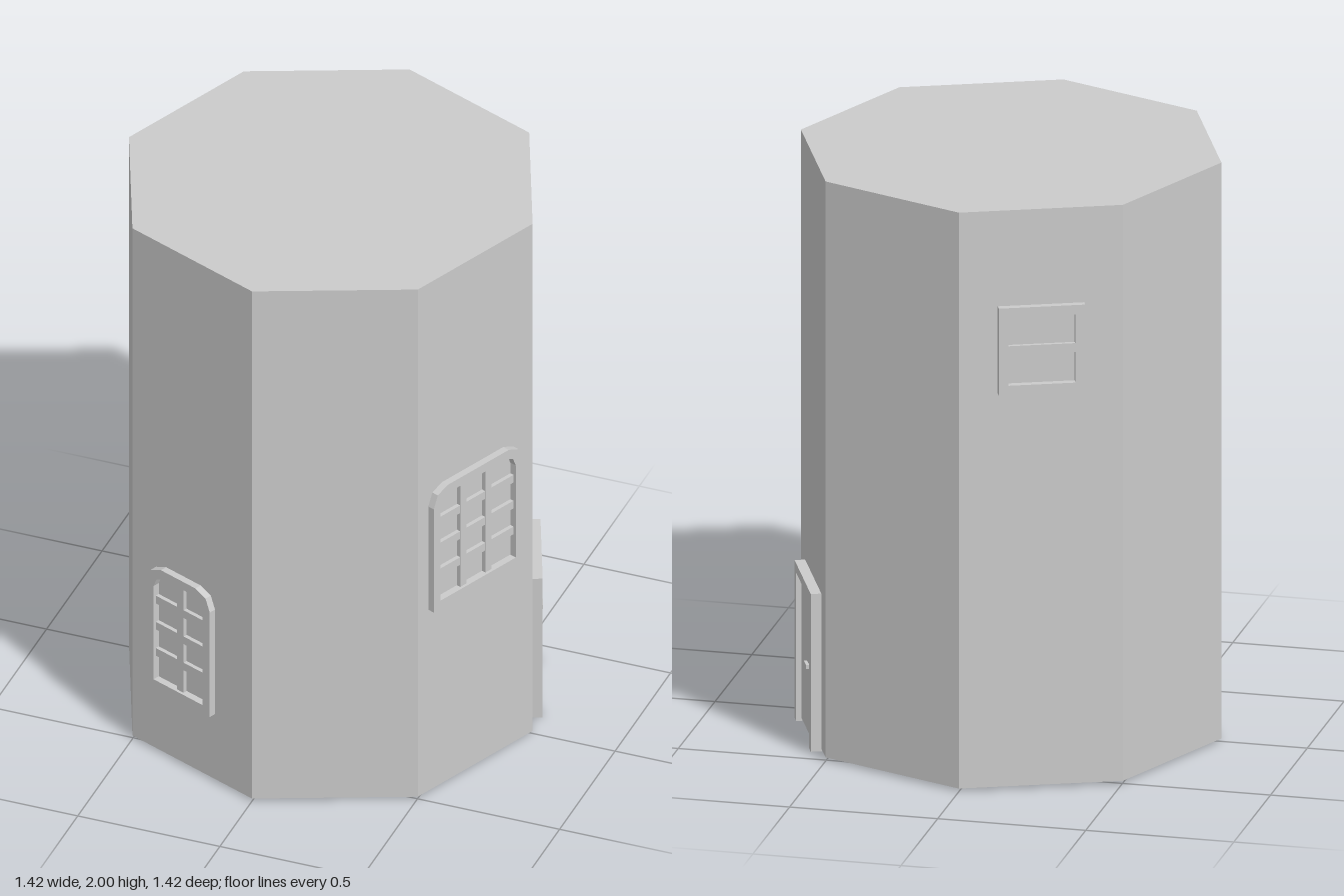
import * as THREE from 'three';

const RADIUS = 0.71;
const APOTHEM = RADIUS * Math.cos(Math.PI / 8);
const mat = new THREE.MeshStandardMaterial({ color: 0xcccccc, flatShading: true, side: THREE.DoubleSide });

function add(parent, name, geometry, x = 0, y = 0, z = 0) {
  const mesh = new THREE.Mesh(geometry, mat);
  mesh.name = name;
  mesh.position.set(x, y, z);
  parent.add(mesh);
  return mesh;
}

// Rectangle standing on y = y0, top corners rounded in two facets
function outline(w, y0, y1, r) {
  const pts = [new THREE.Vector2(-w / 2, y0), new THREE.Vector2(w / 2, y0)];
  if (r === 0) {
    pts.push(new THREE.Vector2(w / 2, y1), new THREE.Vector2(-w / 2, y1));
    return pts;
  }
  for (const [side, start] of [[1, 0], [-1, Math.PI / 2]]) {
    for (let i = 0; i <= 2; i++) {
      const a = start + (i * Math.PI) / 4;
      pts.push(new THREE.Vector2(side * (w / 2 - r) + r * Math.cos(a), y1 - r + r * Math.sin(a)));
    }
  }
  return pts;
}

function frameGeometry(w, h, border, r, depth, bottomBorder = border) {
  const shape = new THREE.Shape(outline(w, 0, h, r));
  shape.holes.push(new THREE.Path(outline(w - 2 * border, bottomBorder, h - border, Math.max(0, r - 0.02))));
  return new THREE.ExtrudeGeometry(shape, { depth: depth + 0.002, bevelEnabled: false });
}

// Group lying on a wall: local z points outward, local x runs along the wall
function wallGroup(parent, name, degrees, along, y) {
  const turn = new THREE.Group();
  turn.name = name;
  turn.rotation.y = THREE.MathUtils.degToRad(degrees);
  parent.add(turn);
  const g = new THREE.Group();
  g.position.set(along, y, APOTHEM);
  turn.add(g);
  return g;
}

function addWindow(parent, { name, degrees, along, y, w, h, r, cols, rows }) {
  const g = wallGroup(parent, name, degrees, along, y);
  const border = 0.032, bar = 0.03, depth = 0.025, barDepth = 0.015;
  add(g, 'windowFrame', frameGeometry(w, h, border, r, depth), 0, 0, -0.002);
  const iw = w - 2 * border, ih = h - 2 * border;
  // Glazing bars
  for (let i = 1; i < cols; i++) {
    add(g, 'verticalBar', new THREE.BoxGeometry(bar, ih, barDepth),
      -iw / 2 + (iw * i) / cols, h / 2, barDepth / 2);
  }
  for (let j = 1; j < rows; j++) {
    add(g, 'horizontalBar', new THREE.BoxGeometry(iw, bar, barDepth - 0.001),
      0, border + (ih * j) / rows, barDepth / 2);
  }
}

export function createModel() {
  const model = new THREE.Group();
  model.name = 'tower';

  // Eight-sided wall, open underneath, with a flat roof
  add(model, 'wall', new THREE.CylinderGeometry(RADIUS, RADIUS, 1.99, 8, 1, true), 0, 1.005, 0);
  add(model, 'roof', new THREE.CircleGeometry(RADIUS, 8), 0, 2, 0).rotation.x = -Math.PI / 2;

  // Windows
  const windows = [
    { name: 'frontWindow', degrees: -22.5, along: -0.04, y: 0.265, w: 0.287, h: 0.475, r: 0.065, cols: 2, rows: 4 },
    { name: 'sideWindow', degrees: 67.5, along: -0.012, y: 0.72, w: 0.42, h: 0.47, r: 0.065, cols: 3, rows: 4 },
    { name: 'backWindow', degrees: 202.5, along: 0, y: 1.37, w: 0.287, h: 0.3, r: 0, cols: 1, rows: 2 },
  ];
  windows.forEach((win) => addWindow(model, win));

  // Door
  const door = wallGroup(model, 'door', 112.5, 0, 0);
  const jamb = new THREE.Shape([
    [-0.178, 0], [-0.144, 0], [-0.144, 0.513], [0.144, 0.513],
    [0.144, 0], [0.178, 0], [0.178, 0.545], [-0.178, 0.545],
  ].map(([x, y]) => new THREE.Vector2(x, y)));
  add(door, 'doorFrame', new THREE.ExtrudeGeometry(jamb, { depth: 0.037, bevelEnabled: false }), 0, 0, -0.002);
  add(door, 'doorLeaf', new THREE.BoxGeometry(0.288, 0.503, 0.017), 0, 0.2615, 0.0085);
  add(door, 'handleStem', new THREE.BoxGeometry(0.012, 0.014, 0.02), 0.108, 0.272, 0.025);
  add(door, 'handleLever', new THREE.BoxGeometry(0.046, 0.014, 0.01), 0.091, 0.272, 0.036);

  return model;
}
